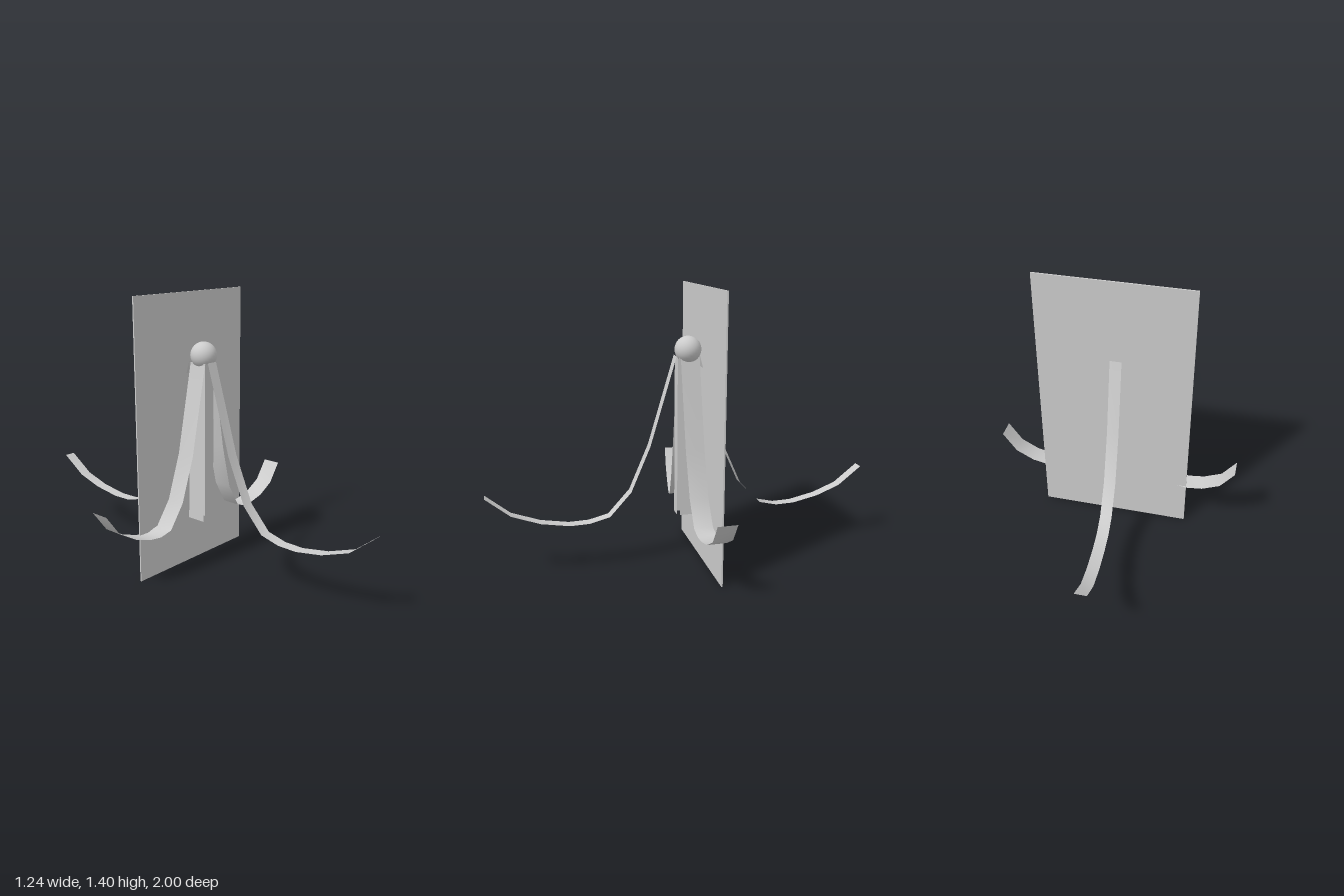
import * as THREE from 'three';

const material = new THREE.MeshStandardMaterial({ color: 0xcccccc, side: THREE.DoubleSide });

// Thin ribbon along cross-sections [out, y, sideways centre];
// axis is the outward direction, 'x' or 'z'.
function ribbon(name, axis, width, path) {
  const positions = [], index = [];
  path.forEach(([out, y, mid], i) => {
    for (const side of [mid - width / 2, mid + width / 2]) {
      positions.push(...(axis === 'x' ? [out, y, side] : [side, y, out]));
    }
    if (i > 0) {
      const a = 2 * i - 2;
      index.push(a, a + 1, a + 2, a + 1, a + 3, a + 2);
    }
  });
  // Wind the faces so that their normals point up and outwards
  const flip = (axis === 'x') !== (path.at(-1)[0] > path[0][0]);
  if (flip) index.reverse();
  const geometry = new THREE.BufferGeometry();
  geometry.setAttribute('position', new THREE.Float32BufferAttribute(positions, 3));
  geometry.setIndex(index);
  geometry.computeVertexNormals();
  const mesh = new THREE.Mesh(geometry, material);
  mesh.name = name;
  return mesh;
}

export function createModel() {
  const group = new THREE.Group();
  group.name = 'ribbonHanging';

  // Thin upright board, leaning back a little
  const board = new THREE.Mesh(new THREE.BoxGeometry(0.765, 1.4, 0.007), material);
  board.name = 'backBoard';
  board.position.set(0.007, 0.7, -0.082);
  board.rotation.x = -0.008;
  group.add(board);

  // Ball that holds the ribbons
  const ball = new THREE.Mesh(new THREE.SphereGeometry(0.066, 32, 16), material);
  ball.name = 'ball';
  ball.position.set(0.014, 1.095, -0.007);
  group.add(ball);

  // Four long ribbons that sweep down, out and up again
  group.add(
    ribbon('leftRibbon', 'x', 0.095, [
      [0.04, 1.06, -0.012], [0.12, 0.61, -0.016], [0.18, 0.38, -0.02], [0.255, 0.255, -0.022],
      [0.31, 0.235, -0.024], [0.37, 0.235, -0.025], [0.46, 0.255, -0.026], [0.55, 0.305, -0.027],
      [0.62, 0.405, -0.027]]),
    ribbon('rightRibbon', 'x', 0.095, [
      [-0.025, 1.06, -0.01], [-0.115, 0.61, -0.01], [-0.185, 0.385, -0.015], [-0.26, 0.262, -0.024],
      [-0.32, 0.243, -0.033], [-0.38, 0.245, -0.044], [-0.46, 0.268, -0.058], [-0.55, 0.32, -0.072],
      [-0.62, 0.42, -0.083]]),
    ribbon('frontRibbon', 'z', 0.06, [
      [0.055, 1.065, 0.005], [0.19, 0.62, 0.005], [0.29, 0.39, 0.005], [0.4, 0.27, 0.005],
      [0.5, 0.245, 0.005], [0.6, 0.243, 0.006], [0.74, 0.268, 0.007], [0.88, 0.32, 0.008],
      [1, 0.42, 0.01]]),
    ribbon('backRibbon', 'z', 0.058, [
      [-0.065, 1.06, 0], [-0.185, 0.62, -0.01], [-0.29, 0.385, -0.018], [-0.405, 0.265, -0.026],
      [-0.5, 0.24, -0.033], [-0.6, 0.24, -0.039], [-0.74, 0.265, -0.048], [-0.87, 0.31, -0.056],
      [-1, 0.405, -0.064]]));

  // Four straight strips hanging inside them, one on each side
  for (const [name, axis, width, top, bottom, mid] of [
    ['leftStrip', 'x', 0.1, 0.038, 0.03, -0.012],
    ['rightStrip', 'x', 0.1, -0.027, -0.037, -0.012],
    ['frontStrip', 'z', 0.062, 0.047, 0.052, -0.01],
    ['backStrip', 'z', 0.062, -0.06, -0.064, -0.01],
  ]) {
    group.add(ribbon(name, axis, width, [[top, 1.06, mid + 0.006], [bottom, 0.245, mid]]));
  }
  return group;
}
